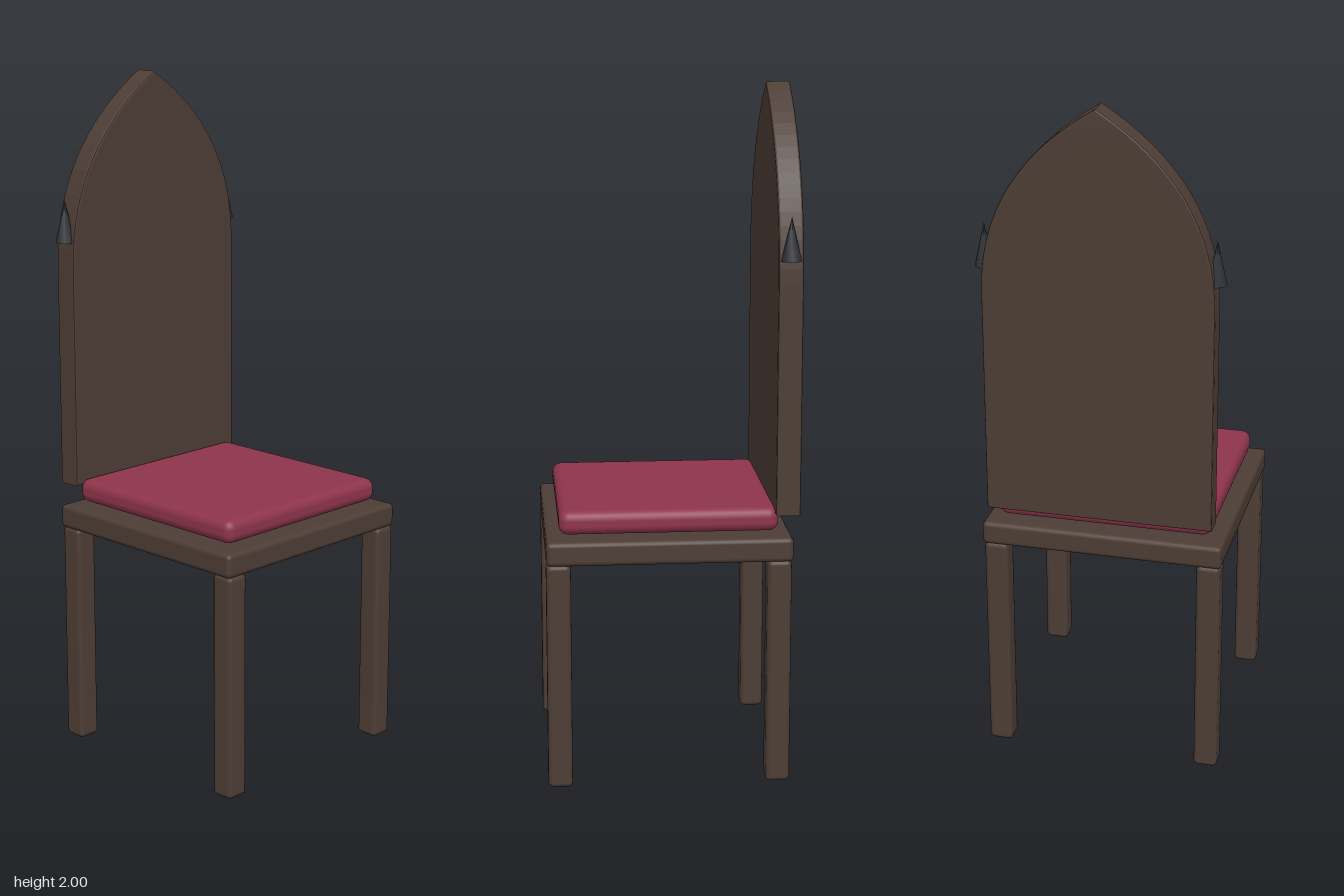
import * as THREE from 'three';
import { RoundedBoxGeometry } from 'three/addons/geometries/RoundedBoxGeometry.js';

const wood = new THREE.MeshStandardMaterial({ color: 0x4d3d35 });
const fabric = new THREE.MeshStandardMaterial({ color: 0x8e344b });
const iron = new THREE.MeshStandardMaterial({ color: 0x2e3136 });

export function createModel() {
  const chair = new THREE.Group();
  chair.name = 'chair';

  const add = (name, geometry, material, x, y, z) => {
    const mesh = new THREE.Mesh(geometry, material);
    mesh.name = name;
    mesh.position.set(x, y, z);
    chair.add(mesh);
  };

  // Seat board and the cushion floating just above it
  add('seat', new RoundedBoxGeometry(0.71, 0.07, 0.706, 2, 0.014), wood, 0, 0.7, 0.01);
  add('cushion', new RoundedBoxGeometry(0.63, 0.07, 0.63, 3, 0.028), fabric, 0, 0.779, 0.01);

  // Four square legs with softened edges
  const leg = new RoundedBoxGeometry(0.07, 0.668, 0.07, 2, 0.014);
  for (const [side, x] of [['left', 0.316], ['right', -0.316]]) {
    add(side + 'FrontLeg', leg, wood, x, 0.334, 0.328);
    add(side + 'BackLeg', leg, wood, x, 0.334, -0.304);
  }

  // Pointed-arch backrest with a small bevel
  const arch = new THREE.Shape();
  arch.moveTo(-0.33, 0.795);
  arch.lineTo(0.33, 0.795);
  arch.lineTo(0.33, 1.46);
  arch.quadraticCurveTo(0.33, 1.8, 0, 2);
  arch.quadraticCurveTo(-0.33, 1.8, -0.33, 1.46);
  arch.lineTo(-0.33, 0.795);
  const bevel = 0.006;
  const back = new THREE.ExtrudeGeometry(arch, {
    depth: 0.071 - 2 * bevel, curveSegments: 16,
    bevelSize: bevel, bevelThickness: bevel, bevelOffset: -bevel, bevelSegments: 2,
  });
  add('backrest', back, wood, 0, 0, -0.364 + bevel);

  // Spikes on both shoulders of the backrest
  const spike = new THREE.ConeGeometry(0.029, 0.125, 8);
  add('leftSpike', spike, iron, 0.327, 1.588, -0.328);
  add('rightSpike', spike, iron, -0.327, 1.588, -0.328);

  return chair;
}
